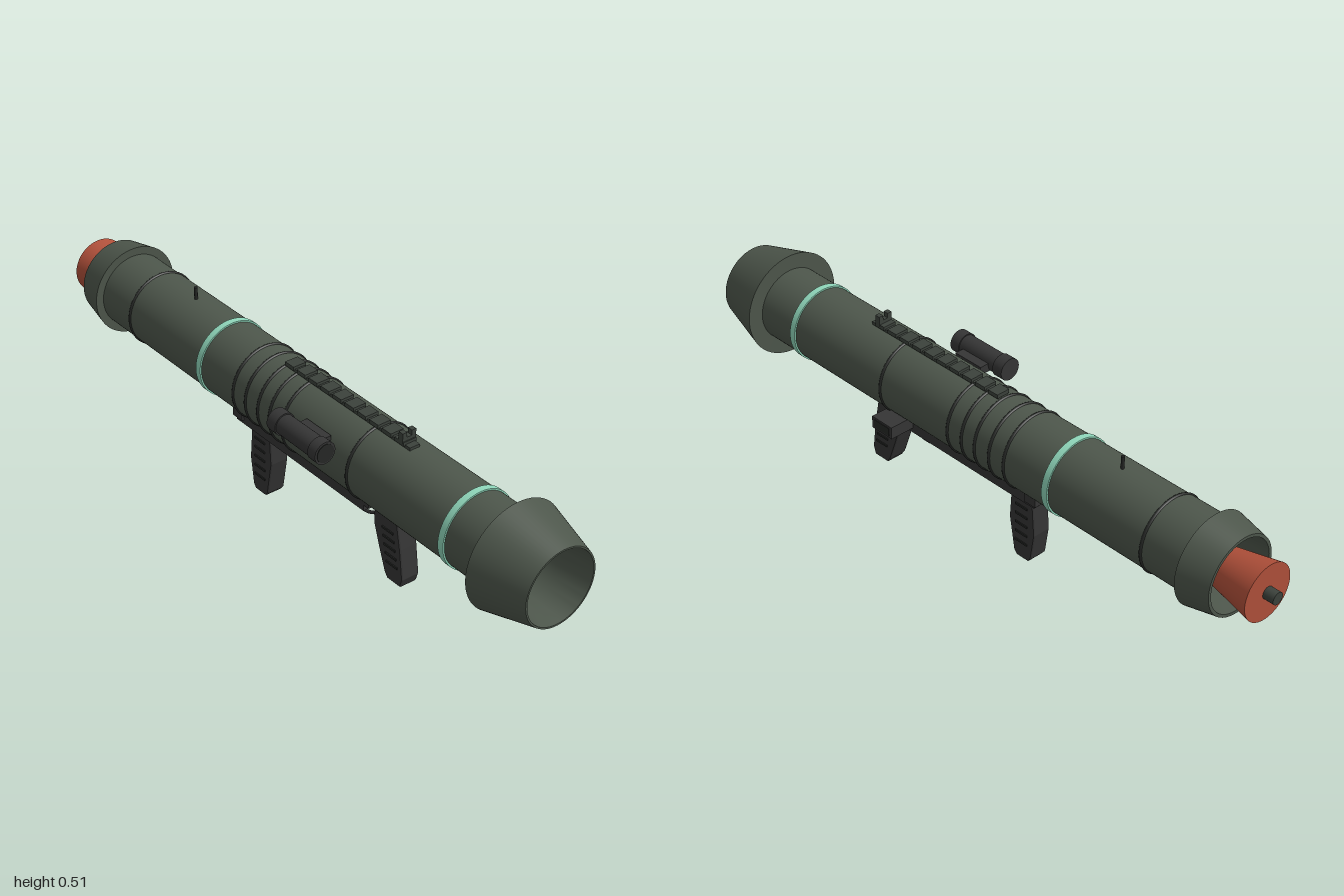
import * as THREE from 'three';
import { toCreasedNormals } from 'three/addons/utils/BufferGeometryUtils.js';

const AX = 0.012, AY = 0.354; // axis of the launch tube

const mat = (name, color, side = THREE.FrontSide) => {
  const m = new THREE.MeshStandardMaterial({ color, side });
  m.name = name;
  return m;
};

export function createModel() {
  const green = mat('olive green', 0x4d564b, THREE.DoubleSide);
  const metal = mat('dark metal', 0x3c423c);
  const black = mat('black rubber', 0x262826);
  const grey = mat('charcoal', 0x353535);
  const mint = mat('mint', 0x8fd6ba);
  const red = mat('rust red', 0xb0503a);

  const root = new THREE.Group();
  root.name = 'launcher';

  const add = (name, geo, material, x = 0, y = 0, z = 0, parent = root) => {
    const m = new THREE.Mesh(geo, material);
    m.name = name;
    m.position.set(x, y, z);
    parent.add(m);
    return m;
  };
  // box given by its limits on each axis
  const box = (name, material, x0, x1, y0, y1, z0, z1) =>
    add(name, new THREE.BoxGeometry(x1 - x0, y1 - y0, z1 - z0), material,
      (x0 + x1) / 2, (y0 + y1) / 2, (z0 + z1) / 2);
  // cylinder along z, from z0 (radius r0) to z1 (radius r1)
  const rod = (name, material, z0, z1, r0, r1 = r0, x = AX, y = AY, seg = 64) =>
    add(name, new THREE.CylinderGeometry(r1, r0, z1 - z0, seg).rotateX(Math.PI / 2),
      material, x, y, (z0 + z1) / 2);

  // hollow tube with the flared muzzle and rear collar
  const profile = [
    [0.115, -0.88], [0.134, -0.785], [0.11, -0.785], [0.11, 0.835], [0.157, 0.835], [0.113, 1],
    [0.108, 1], [0.095, 0.9], [0.095, -0.78], [0.106, -0.88], [0.115, -0.88],
  ].map(([r, z]) => new THREE.Vector2(r, z));
  const tube = new THREE.LatheGeometry(profile, 64).rotateX(Math.PI / 2);
  add('launchTube', toCreasedNormals(tube, 0.25), green, AX, AY, 0);

  // mint discs that show as bands outside and close the bore inside
  for (const z of [0.695, -0.315]) rod('mintBand', mint, z - 0.01, z + 0.01, 0.1145);

  // thin dark rings
  for (const z of [-0.65, -0.16, -0.105, -0.05, 0, 0.055, 0.325])
    rod('tubeRing', black, z - 0.005, z + 0.005, 0.1135).geometry =
      new THREE.TorusGeometry(0.109, 0.005, 8, 64);

  // rear plug with its stub
  rod('rearPlug', red, -0.967, -0.79, 0.083, 0.048);
  rod('plugStub', metal, -1, -0.96, 0.018, 0.018, AX, AY, 24);

  // slotted top rail
  box('topRail', metal, AX - 0.016, AX + 0.016, 0.455, 0.472, -0.04, 0.46);
  for (let i = 0; i < 10; i++) {
    const z = -0.045 + i * 0.05;
    box('railTooth', metal, AX - 0.021, AX + 0.021, 0.468, 0.48, z, z + 0.036);
  }

  // sights
  box('frontSightBase', metal, AX - 0.022, AX + 0.022, 0.475, 0.49, 0.422, 0.438);
  for (const s of [-1, 1]) {
    const x = AX + s * 0.015;
    box('frontSightEar', metal, x - 0.007, x + 0.007, 0.488, 0.505, 0.422, 0.438);
  }
  const pin = new THREE.CylinderGeometry(0.005, 0.005, 0.045, 12);
  add('rearSightPin', pin, black, AX, 0.479, -0.478);

  // side scope and its mount
  const SX = -0.137, SY = 0.419;
  rod('scopeBody', grey, 0.085, 0.285, 0.029, 0.03, SX, SY, 32);
  rod('scopeEyepiece', grey, 0.085, 0.12, 0.033, 0.033, SX, SY, 32);
  rod('scopeHood', grey, 0.255, 0.287, 0.033, 0.033, SX, SY, 32);
  rod('scopeLens', black, 0.284, 0.289, 0.027, 0.027, SX, SY, 32);
  box('scopeMount', grey, -0.125, -0.08, 0.4, 0.425, 0.14, 0.24);

  // lower rail: a top plate, two side bars and cross ribs
  const W = 0.055;
  box('lowerRailPlate', grey, AX - W, AX + W, 0.24, 0.275, -0.2, 0.35);
  for (const s of [-1, 1]) {
    const x = AX + s * (W - 0.008);
    box('lowerRailBar', grey, x - 0.008, x + 0.008, 0.222, 0.245, -0.22, 0.33);
  }
  for (let i = 0; i < 6; i++) {
    const z = -0.19 + i * 0.1;
    box('lowerRailRib', grey, AX - W + 0.004, AX + W - 0.004, 0.224, 0.245, z - 0.012, z + 0.012);
  }
  box('lowerRailEnd', grey, AX - W - 0.006, AX + W + 0.006, 0.233, 0.282, -0.23, -0.188);

  // control box on the left side
  box('controlBox', grey, 0.06, 0.145, 0.238, 0.275, 0.255, 0.335);
  box('controlBoxPanel', black, 0.144, 0.147, 0.244, 0.269, 0.265, 0.325);

  // grips: side outline in z and y, extruded across x
  const grip = (name, outline, ribs) => {
    const g = new THREE.Group();
    g.name = name;
    root.add(g);
    const shape = new THREE.Shape(outline.map(([z, y]) => new THREE.Vector2(z, y)));
    const geo = new THREE.ExtrudeGeometry(shape, {
      depth: 0.048, bevelEnabled: true, bevelThickness: 0.006, bevelSize: 0.006,
      bevelOffset: -0.006, bevelSegments: 2,
    });
    geo.translate(0, 0, -0.024).rotateY(-Math.PI / 2);
    add(name + 'Body', geo, grey, AX, 0, 0, g);
    ribs.forEach(([z, y]) =>
      add(name + 'Rib', new THREE.BoxGeometry(0.066, 0.006, 0.045), black, AX, y, z, g));
  };
  const steps = [0, 1, 2, 3, 4];
  grip('frontGrip',
    [[0.43, 0.24], [0.448, 0.15], [0.46, 0.06], [0.452, 0.034], [0.4, 0.034], [0.388, 0.05],
      [0.362, 0.12], [0.342, 0.18], [0.342, 0.24]],
    steps.map((i) => [0.4 + i * 0.005, 0.19 - i * 0.025]));
  grip('rearGrip',
    [[-0.12, 0.23], [-0.105, 0.19], [-0.1, 0.12], [-0.118, 0.015], [-0.128, 0.003],
      [-0.172, 0.003], [-0.182, 0.015], [-0.195, 0.1], [-0.188, 0.19], [-0.175, 0.23]],
    steps.map((i) => [-0.148, 0.178 - i * 0.03]));

  // trigger guard and trigger
  const path = (pts) => new THREE.CatmullRomCurve3(pts.map(([z, y]) => new THREE.Vector3(AX, y, z)));
  const guard = path([[0.335, 0.225], [0.328, 0.198], [0.3, 0.176], [0.262, 0.168],
    [0.222, 0.176], [0.198, 0.198], [0.196, 0.228]]);
  add('triggerGuard', new THREE.TubeGeometry(guard, 40, 0.005, 8), grey);
  const trigger = path([[0.27, 0.228], [0.272, 0.212], [0.284, 0.196]]);
  add('trigger', new THREE.TubeGeometry(trigger, 12, 0.005, 8), black);

  return root;
}
